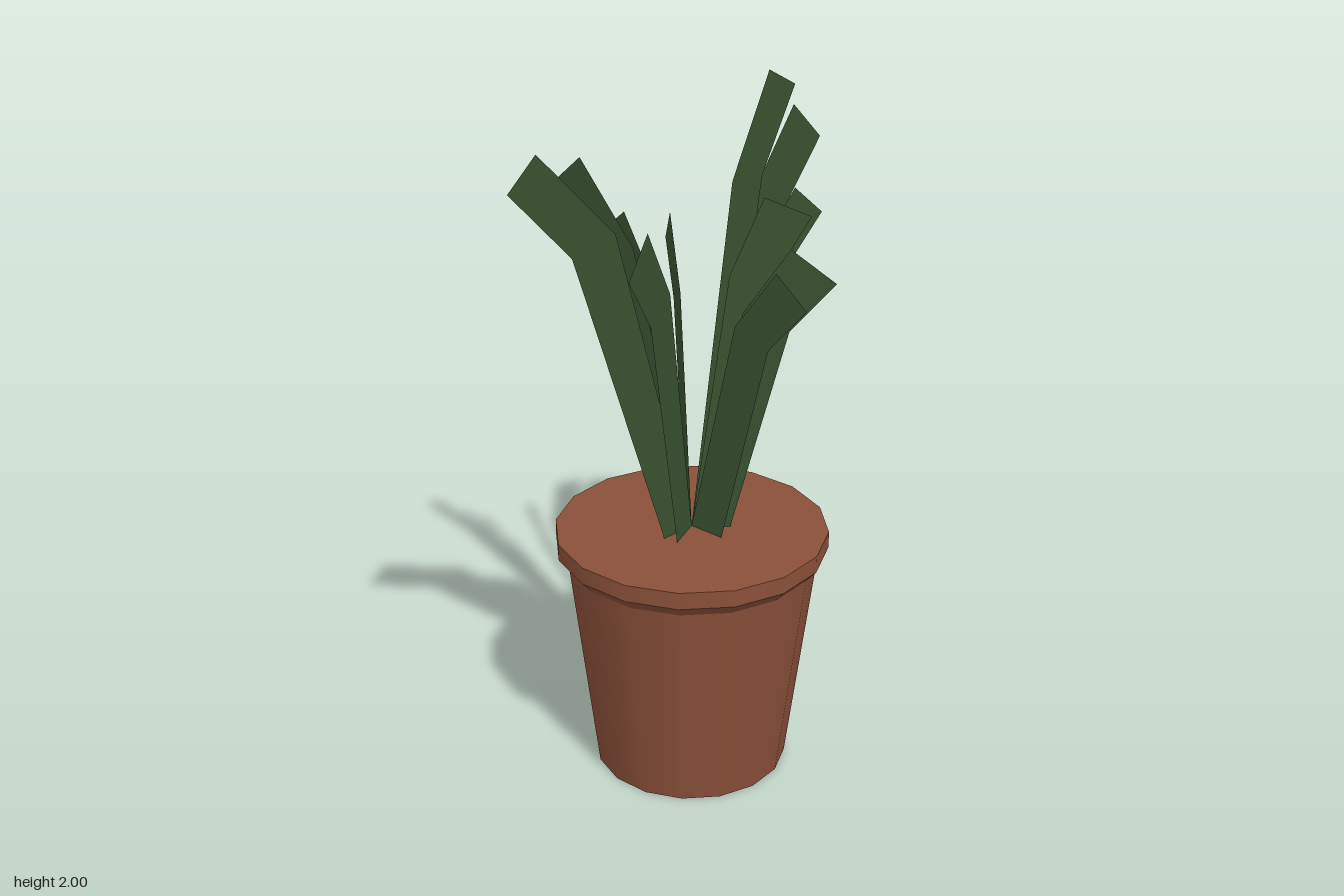
import * as THREE from 'three';

const SOIL_Y = 0.74;
const CENTRE = { x: 0.04, z: 0.05 };

const terracotta = new THREE.MeshStandardMaterial({ color: 0x8a5039 });
terracotta.name = 'terracotta';
const leafGreen = new THREE.MeshStandardMaterial({ color: 0x395130, side: THREE.DoubleSide });
leafGreen.name = 'leaf green';

// One flat upright blade in a vertical plane through the pot axis:
// inner tip corner (x, y, z) and outer tip corner (radius from axis, y)
function makeLeaf([x, y, z], [outerR, outerY], index) {
  const dx = x - CENTRE.x, dz = z - CENTRE.z;
  const innerR = Math.hypot(dx, dz);
  const rise = (top, t) => SOIL_Y + (top - SOIL_Y) * t;
  // cross-sections from base over the kink to the square tip
  const rows = [
    [[0, SOIL_Y], [0.11, SOIL_Y]],
    [[innerR * 0.52, rise(y, 0.78)], [outerR * 0.68, rise(outerY, 0.81)]],
    [[innerR, y], [outerR, outerY]],
  ];
  const positions = [], indices = [];
  for (const row of rows)
    for (const [r, h] of row) positions.push(dx / innerR * r, h, dz / innerR * r);
  for (let i = 0; i < rows.length - 1; i++) {
    const a = i * 2;
    indices.push(a, a + 1, a + 3, a, a + 3, a + 2);
  }
  const geo = new THREE.BufferGeometry();
  geo.setAttribute('position', new THREE.Float32BufferAttribute(positions, 3));
  geo.setIndex(indices);
  geo.computeVertexNormals();
  const leaf = new THREE.Mesh(geo, leafGreen);
  leaf.name = 'leaf' + (index + 1);
  return leaf;
}

export function createModel() {
  const model = new THREE.Group();
  model.name = 'pottedPlant';

  const plant = new THREE.Group();
  plant.position.set(CENTRE.x, 0, CENTRE.z);
  model.add(plant);

  // Pot: smooth 16-sided rings stacked with sharp edges between them
  const pot = new THREE.Group();
  pot.name = 'pot';
  const rings = [
    ['potBody', 0.28, 0, 0.36, 0.655],
    ['rimUnderside', 0.36, 0.655, 0.39, 0.69],
    ['rimBand', 0.39, 0.69, 0.39, SOIL_Y],
  ];
  for (const [name, r0, y0, r1, y1] of rings) {
    const ring = new THREE.Mesh(new THREE.CylinderGeometry(r1, r0, y1 - y0, 16, 1, true), terracotta);
    ring.position.y = (y0 + y1) / 2;
    ring.name = name;
    pot.add(ring);
  }
  for (const [name, r, y, turn] of [['potTop', 0.39, SOIL_Y, -1], ['potBase', 0.28, 0, 1]]) {
    const disc = new THREE.Mesh(new THREE.CircleGeometry(r, 16), terracotta);
    disc.rotation.x = turn * Math.PI / 2;
    disc.position.y = y;
    disc.name = name;
    pot.add(disc);
  }
  plant.add(pot);

  // Leaves: inner tip corner, then outer tip radius and height
  const leaves = [
    [[-0.44, 1.95, 0.31], [0.64, 1.87]],
    [[0.30, 2.00, -0.10], [0.41, 1.94]],
    [[0.41, 1.87, -0.20], [0.578, 1.75]],
    [[0.375, 1.67, -0.08], [0.462, 1.58]],
    [[0.245, 1.69, 0.035], [0.347, 1.62]],
    [[0.285, 1.575, 0.14], [0.386, 1.48]],
    [[0.19, 1.57, 0.29], [0.384, 1.49]],
    [[-0.155, 1.715, 0.29], [0.431, 1.625]],
    [[-0.18, 1.745, -0.29], [0.523, 1.64]],
    [[-0.12, 1.545, -0.34], [0.53, 1.435]],
    [[0.095, 1.545, -0.34], [0.48, 1.44]],
    [[-0.066, 1.59, -0.25], [0.42, 1.51]],
  ];
  const foliage = new THREE.Group();
  foliage.name = 'leaves';
  leaves.forEach(([inner, outer], i) => foliage.add(makeLeaf(inner, outer, i)));
  plant.add(foliage);

  return model;
}
